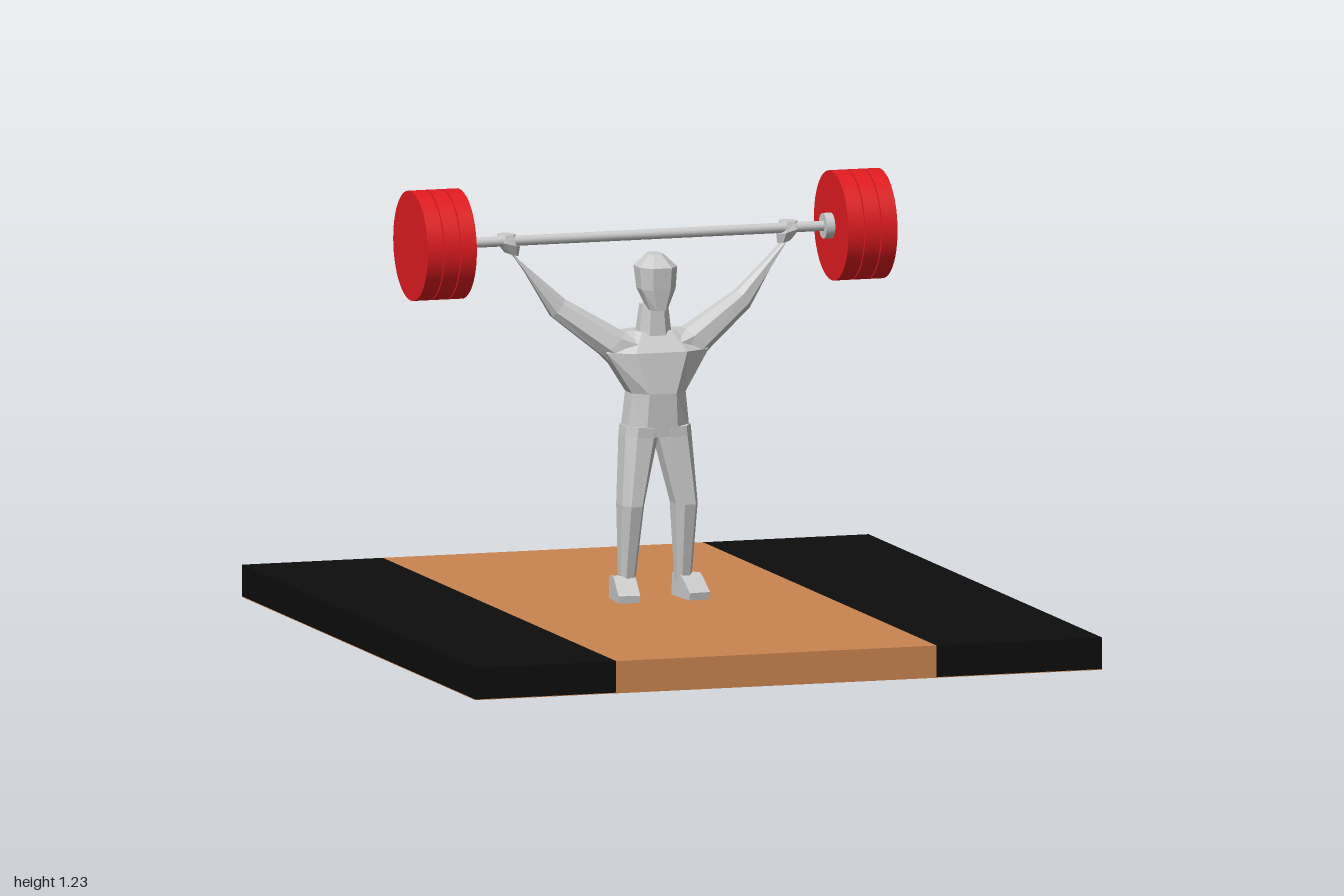
import * as THREE from 'three';

const grey = new THREE.MeshStandardMaterial({ color: 0xcccccc, flatShading: true });
const paint = (c) => new THREE.MeshStandardMaterial({ color: c });
const red = paint(0xe01b20), black = paint(0x0d0d0d), wood = paint(0xca8450);

// Chamfered cross-section, in units of the half-width and half-depth
const SECTION = [[1, 0.45], [0.5, 1], [-0.5, 1], [-1, 0.45], [-1, -0.45], [-0.5, -1], [0.5, -1], [1, -0.45]];

// Lofts rings [ax, ay, bx, by, zFront, zBack]; a and b are the two side points of each ring
function loft(rings, side = 1) {
  const pos = [], idx = [], n = SECTION.length;
  for (const [ax, ay, bx, by, zf, zb] of rings) {
    for (const [u, v] of SECTION) {
      pos.push(side * ((ax + bx) / 2 + u * (bx - ax) / 2), (ay + by) / 2 + u * (by - ay) / 2,
        (zf + zb) / 2 + v * (zf - zb) / 2);
    }
  }
  for (let r = 0; r < rings.length - 1; r++) {
    for (let i = 0; i < n; i++) {
      const a = r * n + i, b = r * n + (i + 1) % n;
      idx.push(a, b, b + n, a, b + n, a + n);
    }
  }
  const last = (rings.length - 1) * n;
  for (let i = 1; i < n - 1; i++) idx.push(0, i + 1, i, last, last + i, last + i + 1);
  // Turn the faces outward by the sign of the enclosed volume
  const p = (i) => new THREE.Vector3().fromArray(pos, i * 3);
  let volume = 0;
  for (let i = 0; i < idx.length; i += 3) volume += p(idx[i]).dot(p(idx[i + 1]).cross(p(idx[i + 2])));
  if (volume < 0) idx.reverse();
  const g = new THREE.BufferGeometry();
  g.setAttribute('position', new THREE.Float32BufferAttribute(pos, 3));
  g.setIndex(idx);
  const flat = g.toNonIndexed();
  flat.computeVertexNormals();
  return flat;
}

// Horizontal ring, symmetric about the body's centre
const level = (y, w, zf, zb) => [-w, y, w, y, zf, zb];

function add(parent, name, geometry, material, x = 0, y = 0, z = 0) {
  const m = new THREE.Mesh(geometry, material);
  m.name = name;
  m.position.set(x, y, z);
  parent.add(m);
  return m;
}

function makePlatform() {
  const g = new THREE.Group();
  g.name = 'platform';
  const H = 0.088, base = 0.002;
  const slab = (name, x0, x1, y0, y1, mat) =>
    add(g, name, new THREE.BoxGeometry(x1 - x0, y1 - y0, 2), mat, (x0 + x1) / 2, (y0 + y1) / 2);
  slab('platformBase', -0.89, 0.89, 0, base, wood);
  slab('woodenDeck', -0.49, 0.42, base, H, wood);
  slab('rightRubberMat', -0.89, -0.49, base, H, black);
  slab('leftRubberMat', 0.42, 0.89, base, H, black);
  return g;
}

function makeBarbell() {
  const g = new THREE.Group();
  g.name = 'barbell';
  g.position.set(-0.059, 1.083, -0.05);
  const rod = (name, r, x0, x1, mat, sides) =>
    add(g, name, new THREE.CylinderGeometry(r, r, Math.abs(x1 - x0), sides).rotateZ(Math.PI / 2), mat, (x0 + x1) / 2);
  rod('bar', 0.014, -0.6, 0.6, grey.clone(), 16).material.flatShading = false;
  for (const s of [-1, 1]) {
    rod('collar', 0.035, s * 0.504, s * 0.53, paint(0xcccccc), 24);
    // Three plates with narrow gaps between them
    for (let i = 0; i < 3; i++) {
      const x = 0.528 + i * 0.0473;
      rod('weightPlate', 0.149, s * x, s * (x + 0.0443), red, 48);
    }
  }
  return g;
}

function makeLifter() {
  const g = new THREE.Group();
  g.name = 'lifter';
  g.position.x = -0.048;

  add(g, 'torso', loft([
    level(0.545, 0.09, 0.062, -0.066),
    level(0.664, 0.076, 0.07, -0.066),
    level(0.775, 0.145, 0.058, -0.073),
    level(0.828, 0.085, 0.015, -0.07),
  ]), grey);
  add(g, 'neck', loft([level(0.8, 0.048, 0.025, -0.06), level(0.9, 0.036, 0.02, -0.045)]), grey);
  add(g, 'head', loft([
    level(0.888, 0.024, 0.054, -0.02),
    level(0.945, 0.048, 0.06, -0.045),
    level(1.005, 0.053, 0.064, -0.06),
    level(1.038, 0.02, 0.025, -0.035),
  ]), grey);

  // Side profile of a foot (forward, up)
  const sole = new THREE.Shape([[-0.038, 0.1], [0.08, 0.1], [0.083, 0.12], [0.035, 0.155], [0.015, 0.165], [-0.036, 0.16]]
    .map(([z, y]) => new THREE.Vector2(z, y)));

  for (const s of [-1, 1]) {
    const label = s > 0 ? 'left' : 'right';
    add(g, label + 'Arm', loft([
      [0.03, 0.825, 0.06, 0.68, 0.045, -0.066],
      [0.088, 0.828, 0.15, 0.768, 0.03, -0.072],
      [0.245, 0.92, 0.28, 0.873, -0.018, -0.073],
      [0.403, 1.06, 0.374, 1.036, -0.048, -0.078],
    ], s), grey);
    add(g, label + 'Hand', loft([
      [0.405, 1.05, 0.37, 1.04, -0.045, -0.08],
      [0.43, 1.083, 0.368, 1.066, -0.033, -0.088],
      [0.422, 1.1, 0.378, 1.1, -0.04, -0.092],
    ], s), grey);
    add(g, label + 'Leg', loft([
      [0.0, 0.57, 0.091, 0.575, 0.065, -0.067],
      [0.002, 0.54, 0.094, 0.55, 0.064, -0.067],
      [0.045, 0.36, 0.107, 0.36, 0.074, -0.043],
      [0.06, 0.14, 0.1, 0.14, 0.022, -0.03],
    ], s), grey);
    const foot = new THREE.ExtrudeGeometry(sole, { depth: 0.06, bevelEnabled: false });
    foot.translate(0, 0, -0.03).rotateY(-Math.PI / 2 + s * 0.1);
    add(g, label + 'Foot', foot, grey, s * 0.092);
  }
  return g;
}

export function createModel() {
  const model = new THREE.Group();
  model.name = 'weightlifter';
  model.add(makePlatform(), makeBarbell(), makeLifter());
  return model;
}
